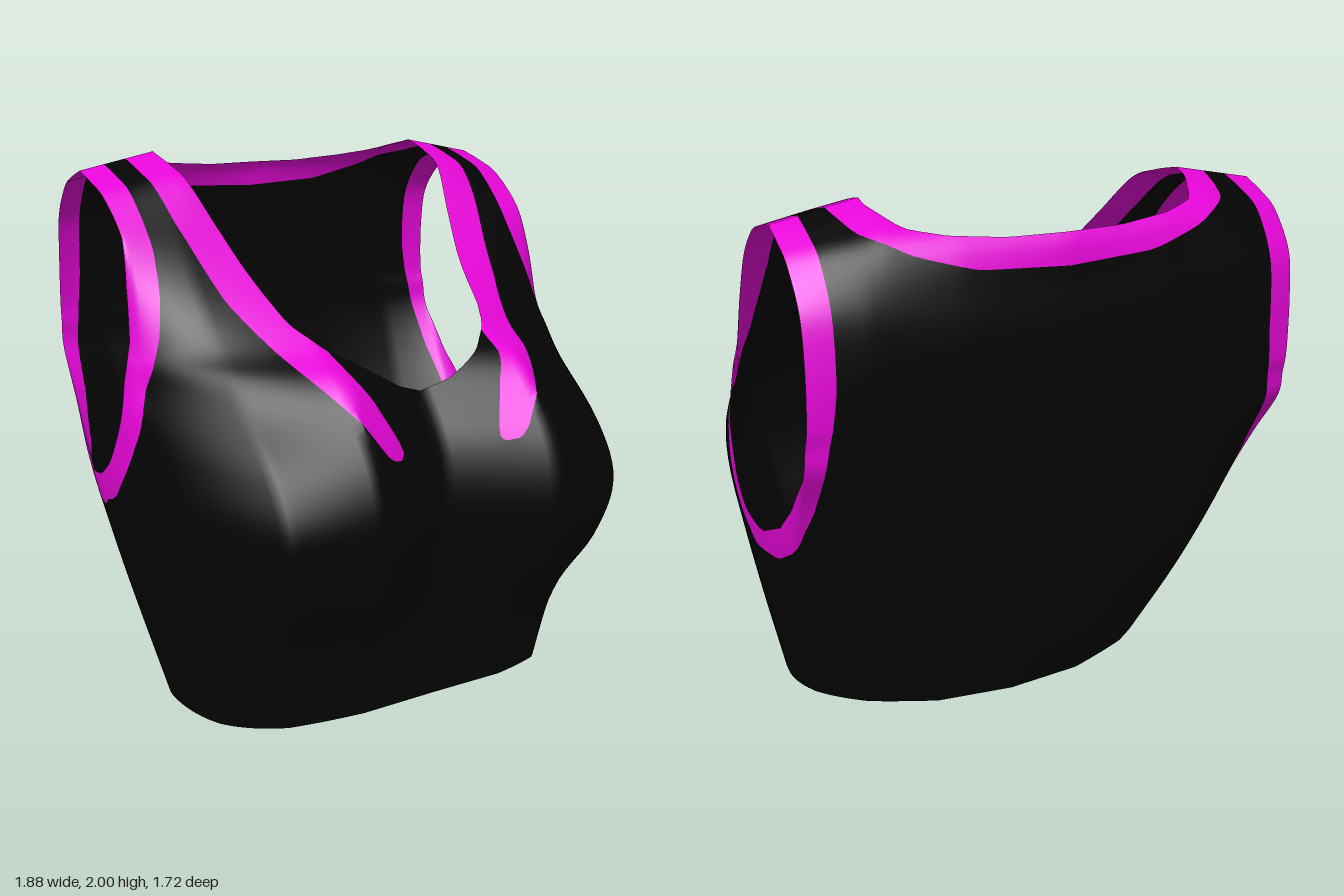
import * as THREE from 'three';
import { mergeVertices } from 'three/addons/utils/BufferGeometryUtils.js';

// Cross-sections: height, half width, then z from centre front round the side to centre back
const ROWS = [
  [0.00, 0.770, 0.61, 0.62, 0.51, 0.29, 0.00, -0.17, -0.31, -0.41, -0.44],
  [0.35, 0.845, 0.59, 0.645, 0.56, 0.34, -0.08, -0.34, -0.49, -0.58, -0.595],
  [0.63, 0.898, 0.63, 0.82, 0.73, 0.41, -0.15, -0.46, -0.61, -0.68, -0.69],
  [0.86, 0.935, 0.66, 0.862, 0.79, 0.42, -0.20, -0.55, -0.68, -0.745, -0.755],
  [1.05, 0.940, 0.62, 0.815, 0.69, 0.30, -0.20, -0.66, -0.75, -0.785, -0.79],
  [1.22, 0.940, 0.50, 0.69, 0.48, 0.12, -0.15, -0.77, -0.81, -0.82, -0.82],
  [1.32, 0.935, 0.42, 0.575, 0.37, 0.075, -0.15, -0.79, -0.825, -0.835, -0.838],
  [1.40, 0.930, 0.33, 0.39, 0.25, 0.045, -0.20, -0.805, -0.835, -0.845, -0.848],
  [1.58, 0.925, 0.13, 0.11, 0.08, -0.005, -0.30, -0.80, -0.838, -0.857, -0.86],
  [1.75, 0.925, -0.07, -0.07, -0.07, -0.09, -0.42, -0.77, -0.81, -0.828, -0.833],
  [1.91, 0.928, -0.22, -0.22, -0.22, -0.24, -0.47, -0.67, -0.72, -0.77, -0.795],
  [1.965, 0.930, -0.35, -0.35, -0.35, -0.36, -0.48, -0.58, -0.61, -0.63, -0.65],
  [2.00, 0.930, -0.48, -0.48, -0.48, -0.48, -0.48, -0.48, -0.48, -0.48, -0.48],
];
const LAST = ROWS.length - 1;

// Smooth value of one table column at a fractional row
function column(k, r) {
  const get = i => ROWS[Math.min(LAST, Math.max(0, i))][k];
  const i = Math.floor(r), f = r - i;
  const a = get(i - 1), b = get(i), c = get(i + 1), d = get(i + 2);
  return b + 0.5 * f * (c - a + f * (2 * a - 5 * b + 4 * c - d + f * (3 * (b - c) + d - a)));
}

// Cloth surface: t runs from 0 (centre front) over 1 (side) to 2 (centre back), r is the row
function surface(t, r) {
  const x = column(1, r) * Math.sin(t * Math.PI / 2);
  const s = Math.abs(t) * 4, i = Math.min(7, Math.floor(s));
  const z = THREE.MathUtils.lerp(column(2 + i, r), column(3 + i, r), s - i);
  let y = column(0, r);
  y += 0.1 * (Math.max(0, z) / 0.63) ** 3 * Math.max(0, 1 - y / 0.35); // raised front hem
  y -= 0.2 * Math.max(0, Math.abs(x) - 0.57) * THREE.MathUtils.smoothstep(y, 1.7, 2); // shoulder slope
  return [x, y, z];
}

// Outlines on the unrolled cloth
const toT = x => Math.asin(x / 0.93) * 2 / Math.PI;
const onFront = pts => pts.map(([x, y]) => [toT(x), y]);
const onBack = pts => pts.map(([x, y]) => [2 - toT(x), y]);

const armHole = [[0.75, 2.3], [0.75, 1.75], [0.775, 1.58], [0.79, 1.4], [0.82, 1.32], [0.85, 1.22],
  [0.915, 1.05], [0.955, 0.94], [1.0, 0.865], [1.12, 0.84], [1.205, 0.92], [1.235, 1.03], [1.25, 1.2],
  [1.25, 2.3]];
const armBand = [[0.614, 2.3], [0.614, 1.7], [0.635, 1.56], [0.67, 1.42], [0.715, 1.32], [0.76, 1.22],
  [0.85, 1.05], [0.915, 0.9], [0.96, 0.8], [1.05, 0.73], [1.19, 0.755], [1.285, 0.87], [1.33, 1.05],
  [1.345, 1.2], [1.38, 1.5], [1.386, 2.3]];
const neckHole = [
  onFront([[-0.3, 1.22], [0, 1.22], [0.1, 1.255], [0.2, 1.315], [0.33, 1.39], [0.4, 1.46], [0.47, 1.66],
    [0.57, 1.99], [0.57, 2.3], [-0.3, 2.3]]),
  onBack([[-0.3, 1.91], [0.2, 1.91], [0.38, 1.925], [0.5, 1.945], [0.57, 1.99], [0.57, 2.3], [-0.3, 2.3]]),
];
const neckBand = [
  onFront([[0.68, 2.3], [0.68, 1.95], [0.655, 1.79], [0.575, 1.53], [0.46, 1.34], [0.35, 1.2], [0.28, 1.09],
    [0.235, 1.06], [0.195, 1.07], [0.205, 1.12], [0.26, 1.25], [0.31, 1.33], [0.33, 1.41], [0.2, 1.6],
    [0.2, 2.3]]),
  onBack([[-0.3, 1.81], [0, 1.81], [0.3, 1.825], [0.5, 1.88], [0.64, 1.95], [0.68, 2.0], [0.68, 2.3],
    [-0.3, 2.3]]),
];

// Signed distance to an outline, negative inside
function distance(poly, px, py) {
  let best = Infinity, inside = false;
  poly.forEach(([ax, ay], i) => {
    const [bx, by] = poly[(i + 1) % poly.length];
    const ex = bx - ax, ey = by - ay;
    const h = Math.min(1, Math.max(0, ((px - ax) * ex + (py - ay) * ey) / (ex * ex + ey * ey)));
    best = Math.min(best, Math.hypot(px - ax - h * ex, py - ay - h * ey));
    if ((ay > py) !== (by > py) && px < ax + ex * (py - ay) / ey) inside = !inside;
  });
  return inside ? -best : best;
}

// Cuts a small polygon along outlines, giving [inside, outside]
function split(face, polys) {
  const inner = [], outer = [];
  if (face.length < 3) return [inner, outer];
  const d = face.map(([t, r]) => {
    const y = column(0, r);
    return Math.min(...polys.map(p => distance(p, Math.abs(t), y)));
  });
  face.forEach((p, i) => {
    const j = (i + 1) % face.length, q = face[j];
    (d[i] < 0 ? inner : outer).push(p);
    if ((d[i] < 0) !== (d[j] < 0)) {
      const f = d[i] / (d[i] - d[j]);
      const cut = [p[0] + (q[0] - p[0]) * f, p[1] + (q[1] - p[1]) * f];
      inner.push(cut);
      outer.push(cut);
    }
  });
  return [inner, outer];
}

export function createModel() {
  const black = new THREE.MeshStandardMaterial({ color: 0x040404, side: THREE.DoubleSide });
  black.name = 'black cloth';
  const magenta = new THREE.MeshStandardMaterial({ color: 0xe806da, side: THREE.DoubleSide });
  magenta.name = 'magenta trim';

  const parts = { bodice: [], armholeTrim: [], necklineTrim: [] };
  const add = (list, face) => {
    for (let i = 1; i + 1 < face.length; i++) {
      for (const p of [face[0], face[i], face[i + 1]]) list.push(...surface(p[0], p[1]));
    }
  };

  // Walk over the cloth, cutting openings and sorting pieces into cloth and trim
  const nt = 160, perRow = 6, nr = LAST * perRow;
  for (let i = 0; i < nt; i++) {
    for (let j = 0; j < nr; j++) {
      const t0 = i * 4 / nt - 2, t1 = (i + 1) * 4 / nt - 2, r0 = j / perRow, r1 = (j + 1) / perRow;
      const a = [t0, r0], b = [t1, r0], c = [t1, r1], d = [t0, r1];
      for (const tri of [[a, b, c], [a, c, d]]) {
        const cloth = split(split(tri, [armHole])[1], neckHole)[1];
        const [arm, rest] = split(cloth, [armBand]);
        const [neck, plain] = split(rest, neckBand);
        add(parts.armholeTrim, arm);
        add(parts.necklineTrim, neck);
        add(parts.bodice, plain);
      }
    }
  }

  const group = new THREE.Group();
  group.name = 'cropTop';
  for (const [name, points] of Object.entries(parts)) {
    let geometry = new THREE.BufferGeometry();
    geometry.setAttribute('position', new THREE.Float32BufferAttribute(points, 3));
    geometry = mergeVertices(geometry, 1e-4);
    geometry.computeVertexNormals();
    const mesh = new THREE.Mesh(geometry, name === 'bodice' ? black : magenta);
    mesh.name = name;
    group.add(mesh);
  }
  return group;
}
